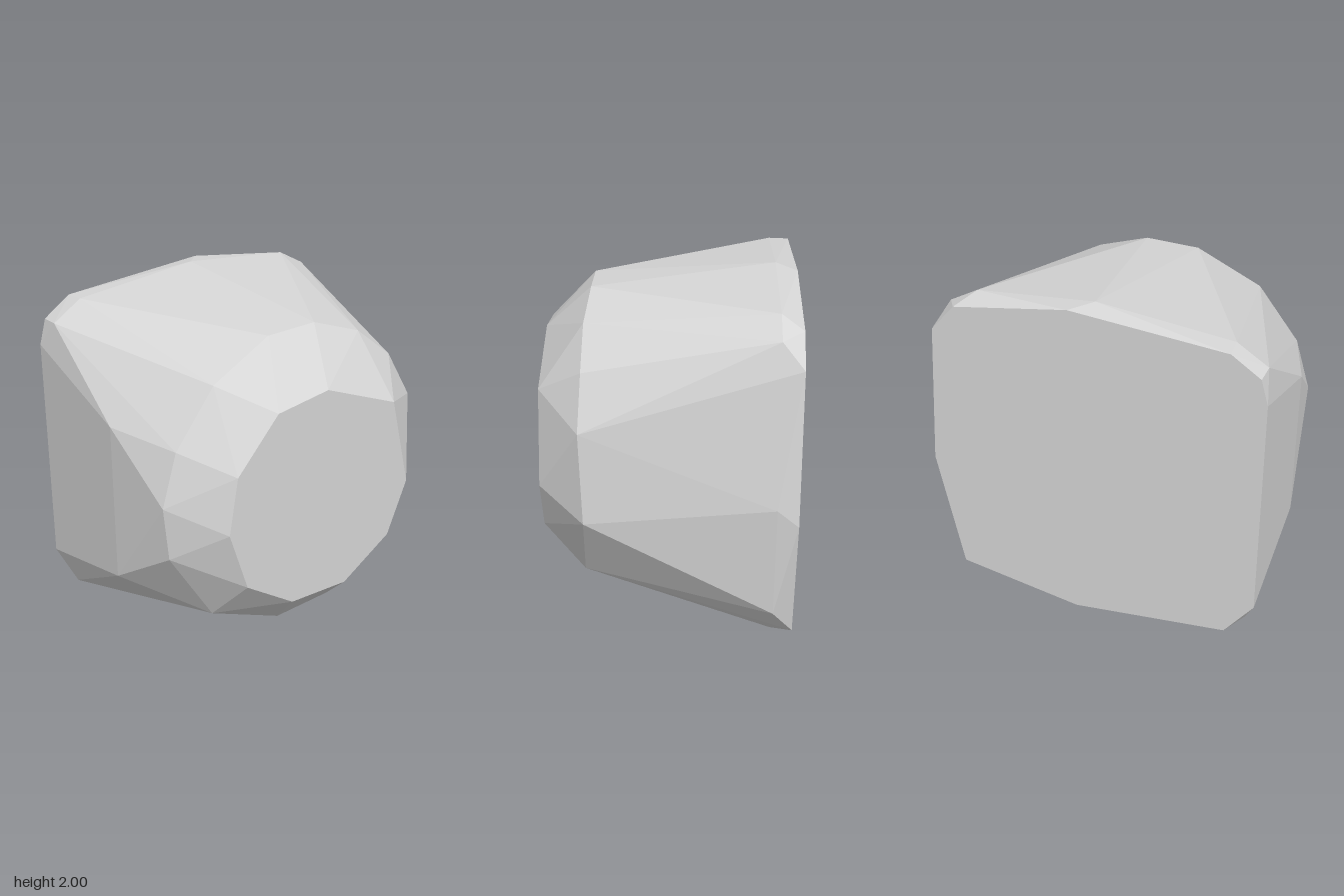
import * as THREE from 'three';
import { ConvexGeometry } from 'three/addons/geometries/ConvexGeometry.js';

// Turns [x, y] outlines at one depth into points
const atDepth = (z, outline) => outline.map(([x, y]) => new THREE.Vector3(x, y, z));

export function createModel() {
  const group = new THREE.Group();
  group.name = 'rock';

  const stone = new THREE.MeshStandardMaterial({ color: 0xd6d6d6 });
  stone.name = 'pale grey stone';

  // Flat front facet
  const front = atDepth(0.7, [
    [-0.03, 1.61], [0.45, 1.42], [0.58, 0.9], [0.45, 0.59], [0.13, 0.385],
    [-0.25, 0.395], [-0.56, 0.6], [-0.675, 0.95], [-0.62, 1.27], [-0.36, 1.56],
  ]);

  // Shoulder where the front chamfer meets the sides
  const shoulder = atDepth(0.45, [
    [0.39, 1.78], [0.63, 1.59], [-0.59, 1.69], [-0.83, 1.38],
    [-0.92, 1.08], [-0.89, 0.77], [-0.62, 0.335],
  ]).concat(
    atDepth(0.43, [[0.09, 1.885], [-0.22, 1.875]]),
    atDepth(0.46, [[0.79, 1.31], [0.57, 0.37]]),
    atDepth(0.44, [[0.83, 0.8], [0.22, 0.15], [-0.15, 0.13]]),
  );

  // Foremost corners of the flat side
  const side = atDepth(0.03, [[-0.965, 1.41], [-0.965, 0.5]]);

  // Widest rim, just ahead of the back
  const rim = atDepth(-0.585, [
    [-0.01, 2], [0.66, 1.94], [0.825, 1.85], [0.965, 0.97], [0.9, 0.3],
    [0.69, 0.07], [-0.05, 0], [-0.74, 0.07], [-0.89, 0.15],
    [-0.93, 1.81], [-0.76, 1.92],
  ]);

  // Flat back facet
  const back = atDepth(-0.7, [
    [0.1, 1.988], [0.75, 1.88], [0.89, 1.72], [0.955, 0.87], [0.82, 0.14],
    [0.1, 0.012], [-0.8, 0.115], [-0.965, 0.34], [-0.965, 1.66],
    [-0.925, 1.805], [-0.765, 1.915],
  ]);

  // Faceted stone wrapped around all the outlines
  const body = new THREE.Mesh(
    new ConvexGeometry([...front, ...shoulder, ...side, ...rim, ...back]),
    stone,
  );
  body.name = 'stoneBody';
  group.add(body);
  return group;
}
